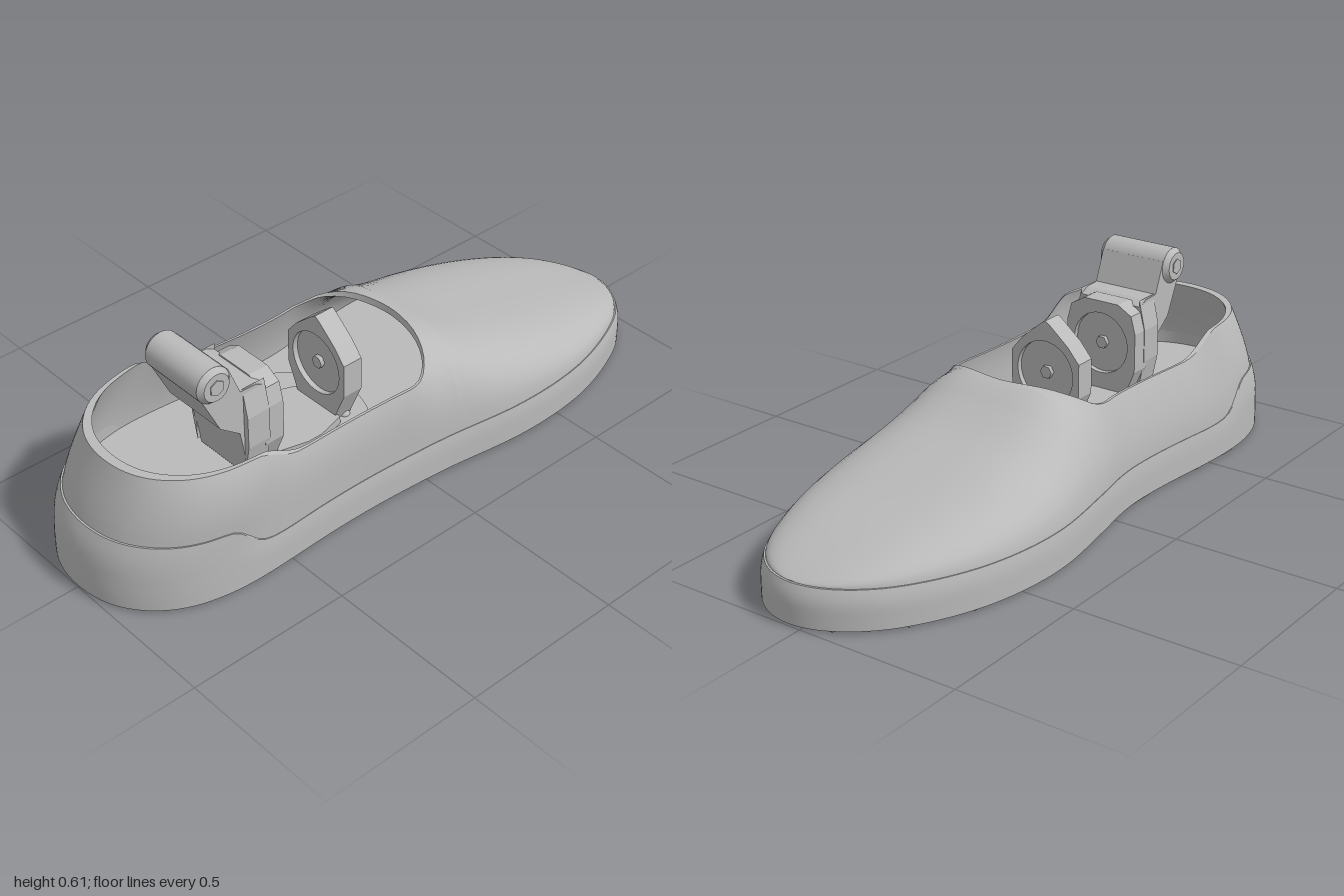
import * as THREE from 'three';
import { mergeGeometries, mergeVertices } from 'three/addons/utils/BufferGeometryUtils.js';

const grey = new THREE.MeshStandardMaterial({ color: 0xbababa, side: THREE.DoubleSide });
grey.name = 'grey';

// Smooth interpolation through [x, value] pairs
function table(p) {
  const slope = i => {
    const a = p[Math.max(i - 1, 0)], b = p[Math.min(i + 1, p.length - 1)];
    return (b[1] - a[1]) / (b[0] - a[0]);
  };
  return x => {
    let i = 0;
    while (i < p.length - 2 && x > p[i + 1][0]) i++;
    const h = p[i + 1][0] - p[i][0], t = THREE.MathUtils.clamp((x - p[i][0]) / h, 0, 1);
    const t2 = t * t, t3 = t2 * t;
    return p[i][1] * (2 * t3 - 3 * t2 + 1) + slope(i) * h * (t3 - 2 * t2 + t)
      + p[i + 1][1] * (3 * t2 - 2 * t3) + slope(i + 1) * h * (t3 - t2);
  };
}

// Plan shape, rim and vamp height, sole edge height, and heel lean
const fullness = table([[-1, .6], [-.95, .545], [-.85, .493], [-.7, .427], [-.5, .355], [-.3, .309], [-.1, .296],
  [.1, .32], [.35, .374], [.6, .412], [.8, .43], [.9, .445], [1, .45]]);
const halfWidth = x => fullness(x) * Math.sqrt(Math.max(0, 1 - x * x));
const centre = table([[-1, 0], [-.5, -.003], [-.1, .008], [.1, 0], [.35, -.002], [.6, .006], [.8, .018], [1, .04]]);
const topHeight = table([[-1, .397], [-.75, .397], [-.64, .397], [-.6, .385], [-.5, .345], [-.42, .338], [-.1, .338], [0, .342],
  [.05, .37], [.1, .395], [.14, .392], [.2, .36], [.3, .315], [.4, .285], [.6, .235], [.8, .19], [.92, .155], [.98, .132], [1, .122]]);
const soleTop = table([[-1, .21], [-.8, .21], [-.74, .21], [-.7, .2], [-.62, .135], [-.56, .12], [-.4, .12], [1, .12]]);
const lean = table([[0, 1], [.06, 1], [.21, .975], [.4, .875]]);

const stations = [];
for (let i = 0; i < 40; i++) stations.push(-1 + .95 * (1 - Math.cos(Math.PI * i / 80)));
for (let i = 0; i < 12; i++) stations.push(-.05 + .17 * Math.sin(Math.PI * i / 24));
for (let i = 0; i <= 40; i++) stations.push(.12 + .88 * Math.sin(Math.PI * i / 80));

// Heel leans forward and the upper leans slightly to one side with height
function place(x, y, z, scale) {
  const px = x < -.3 ? -.3 + (x + .3) * lean(y) : x;
  const sway = .018 * THREE.MathUtils.smoothstep(y, .12, .38);
  return [px * scale, y, centre(x) + sway + z * scale];
}

// Two mirrored sheets over the stations, welded where they meet
function shell(fn, rows, inward = false) {
  const sheets = [1, -1].map(side => {
    const pos = [], index = [];
    for (const x of stations) for (let j = 0; j <= rows; j++) pos.push(...fn(x, j / rows, side));
    for (let i = 0; i < stations.length - 1; i++) for (let j = 0; j < rows; j++) {
      const a = i * (rows + 1) + j, b = a + rows + 1;
      if ((side > 0) !== inward) index.push(a, b, b + 1, a, b + 1, a + 1);
      else index.push(a, b + 1, b, a, a + 1, b + 1);
    }
    const g = new THREE.BufferGeometry();
    g.setAttribute('position', new THREE.Float32BufferAttribute(pos, 3));
    g.setIndex(index);
    return g;
  });
  const g = mergeVertices(mergeGeometries(sheets), 1e-4);
  g.computeVertexNormals();
  return g;
}

// Upper cross-section from the sole edge (v = 0) to the opening or the vamp ridge (v = 1)
function upperPoint(x, v, side, scale, drop) {
  const t = THREE.MathUtils.clamp((x + .05) / .17, 0, 1);
  const end = Math.acos(.79 * (1 - t * t));
  const base = soleTop(x), peak = base + (topHeight(x) - base) / Math.sin(end);
  const a = end * (1 - (1 - v) ** 2);
  const round = .5 + .1 * THREE.MathUtils.smoothstep(x, -.05, .15);
  const z = halfWidth(x) * Math.pow(Math.max(0, Math.cos(a)), round);
  const y = base + (peak - base) * Math.sin(a) - drop * THREE.MathUtils.smoothstep(x, 0, .12);
  return place(x, y, side * z, scale);
}

function outline(scale, x0 = -1, x1 = 1) {
  const xs = stations.filter(x => x >= x0 && x <= x1), pts = [];
  for (const x of xs) pts.push(new THREE.Vector2(x * scale, centre(x) + halfWidth(x) * scale));
  for (const x of xs.slice(1, -1).reverse()) pts.push(new THREE.Vector2(x * scale, centre(x) - halfWidth(x) * scale));
  return new THREE.Shape(pts);
}

// Horizontal slab from a plan shape
function slab(shape, depth, yTop) {
  return new THREE.ExtrudeGeometry(shape, { depth, bevelEnabled: false, curveSegments: 32 })
    .rotateX(Math.PI / 2).translate(0, yTop, 0);
}

export function createModel() {
  const model = new THREE.Group();
  const add = (name, geometry, x = 0, y = 0, z = 0, parent = model) => {
    const m = new THREE.Mesh(geometry, grey);
    m.name = name;
    m.position.set(x, y, z);
    parent.add(m);
  };
  const circle = (x, y, r) => new THREE.Path().absarc(x, y, r, 0, Math.PI * 2, true);
  const polygon = points => new THREE.Shape(points.map(p => new THREE.Vector2(...p)));

  // Shoe body
  add('soleWall', shell((x, v, s) => {
    const y = .008 + v * (soleTop(x) - .008);
    return place(x, y, s * halfWidth(x), 1 - .015 * Math.max(0, 2 * v - 1) ** 2);
  }, 8));
  add('soleLip', shell((x, v, s) => place(x, soleTop(x), s * halfWidth(x), .985 - v * .006), 1));
  add('upper', shell((x, v, s) => upperPoint(x, v, s, .979, 0), 16));
  add('lining', shell((x, v, s) => upperPoint(x, v, s, .948, .02), 12, true));
  add('rim', shell((x, v, s) => {
    const a = upperPoint(x, 1, s, .979, 0), b = upperPoint(x, 1, s, .948, .02);
    return a.map((n, i) => n + (b[i] - n) * v);
  }, 1));
  add('lowerLining', shell((x, v, s) =>
    place(x, .1 + v * (soleTop(x) - .1), s * halfWidth(x), .948), 1, true));
  add('insole', slab(outline(.94, -1, .45), .02, .17));

  // Underside with six bolt holes
  const hub = { x: -.26, z: .01 };
  const ring = (r, offset = 0) => Array.from({ length: 6 }, (_, i) => {
    const a = (i + offset) * Math.PI / 3;
    return [hub.x + r * Math.cos(a), hub.z + r * Math.sin(a)];
  });
  const bottom = outline(.995);
  for (const [x, z] of ring(.2)) bottom.holes.push(circle(x, z, .036));
  add('outsole', slab(bottom, .03, .042));
  for (const [x, z] of ring(.2)) add('boltRecess', new THREE.CylinderGeometry(.036, .036, .01, 20), x, .045, z);

  // Broad wavy tread ribs, leaving the bolt area and the oval pad clear
  const ribs = [], ribWidth = .056;
  const addRib = run => {
    if (run.length < 3) return;
    const back = run.slice().reverse().map(p => new THREE.Vector2(p.x + ribWidth, p.y));
    ribs.push(slab(new THREE.Shape([...run, ...back]), .01, .012));
  };
  for (let x0 = -1.02; x0 < 1.1; x0 += .068) {
    let run = [];
    for (let i = 0; i <= 72; i++) {
      const z = -.36 + i * .01;
      const x = x0 - .04 * Math.sin(z * 9) - .3 * z * z;
      const inside = [x, x + ribWidth].every(q => Math.abs(q) < .985 && Math.abs(z - centre(q)) < halfWidth(q) * .99);
      const clear = Math.hypot(x + ribWidth / 2 - hub.x, z - hub.z) > .17
        && ring(.2).every(p => Math.hypot(x + ribWidth / 2 - p[0], z - p[1]) > .065)
        && ((x + ribWidth / 2 - .3) / .25) ** 2 + (z / .085) ** 2 > 1;
      if (inside && clear) run.push(new THREE.Vector2(x, z));
      else { addRib(run); run = []; }
    }
    addRib(run);
  }
  add('treadRibs', mergeGeometries(ribs));
  const oval = new THREE.Shape().absellipse(.3, 0, .2, .055, 0, Math.PI * 2);
  add('ovalPad', slab(oval, .006, .012));

  // Mounting disc, rivets and bracket base inside
  add('mountingDisc', new THREE.CylinderGeometry(.23, .23, .012, 64), hub.x, .174, hub.z);
  for (const [x, z] of ring(.16, .5))
    add('rivet', new THREE.SphereGeometry(.016, 16, 8, 0, Math.PI * 2, 0, Math.PI / 2), x, .178, z);
  add('bracketBase', slab(polygon([[-.4, -.075], [-.3, -.11], [-.25, -.11], [-.16, -.075],
    [-.16, .115], [-.25, .14], [-.3, .14], [-.4, .115]]), .03, .205));

  // Upright plates with a round socket, facing along the shoe
  function upright(name, x, thick, points, cy, r) {
    const s = polygon(points);
    s.holes.push(circle(0, cy, r));
    const group = new THREE.Group();
    group.name = name;
    group.position.set(x, 0, .022);
    model.add(group);
    const plate = new THREE.ExtrudeGeometry(s, { depth: thick, bevelEnabled: false, curveSegments: 32 });
    add('socketPlate', plate.rotateY(Math.PI / 2), 0, 0, 0, group);
    add('socketDisc', new THREE.CylinderGeometry(r, r, thick * .5, 32).rotateZ(Math.PI / 2), thick / 2, cy, 0, group);
    add('socketPin', new THREE.CylinderGeometry(.02, .02, thick * .9, 6).rotateZ(Math.PI / 2), thick / 2, cy, 0, group);
  }
  upright('frontUpright', -.168, .065, [[-.07, .18], [.07, .18], [.118, .29], [.118, .395], [.08, .44], [.015, .495],
    [0, .505], [-.015, .495], [-.08, .44], [-.118, .395], [-.118, .29]], .345, .097);
  upright('rearUpright', -.455, .065, [[-.08, .18], [.08, .18], [.122, .28], [.122, .4], [.107, .455], [.06, .482],
    [-.06, .482], [-.107, .455], [-.122, .4], [-.122, .28]], .35, .095);

  // Slanted lever arm ending in a barrel hinge
  const arm = polygon([[-.664, .545], [-.595, .4], [-.53, .35], [-.5, .18], [-.44, .18], [-.44, .47], [-.47, .485],
    [-.523, .487], [-.56, .58]]);
  add('leverArm', new THREE.ExtrudeGeometry(arm, { depth: .215, bevelEnabled: false }), 0, 0, -.085);
  add('hingeBarrel', new THREE.CylinderGeometry(.055, .055, .215, 40).rotateX(Math.PI / 2), -.612, .555, .0225);
  for (const s of [1, -1]) {
    add('hingeCap', new THREE.CylinderGeometry(s > 0 ? .042 : .055, s > 0 ? .055 : .042, .016, 24).rotateX(Math.PI / 2),
      -.612, .555, .0225 + s * .1155);
    add('hingeBolt', new THREE.CylinderGeometry(.024, .024, .004, 6).rotateX(Math.PI / 2), -.612, .555, .0225 + s * .1245);
  }

  // Tapered cheeks where the arm widens towards its foot
  for (const s of [1, -1]) {
    const cheek = polygon([[0, .49], [s * .02, .4], [s * .02, .3], [0, .2]]);
    add('armCheek', new THREE.ExtrudeGeometry(cheek, { depth: .075, bevelEnabled: false }).rotateY(-Math.PI / 2),
      -.44, 0, .0225 + s * .104);
  }
  return model;
}
